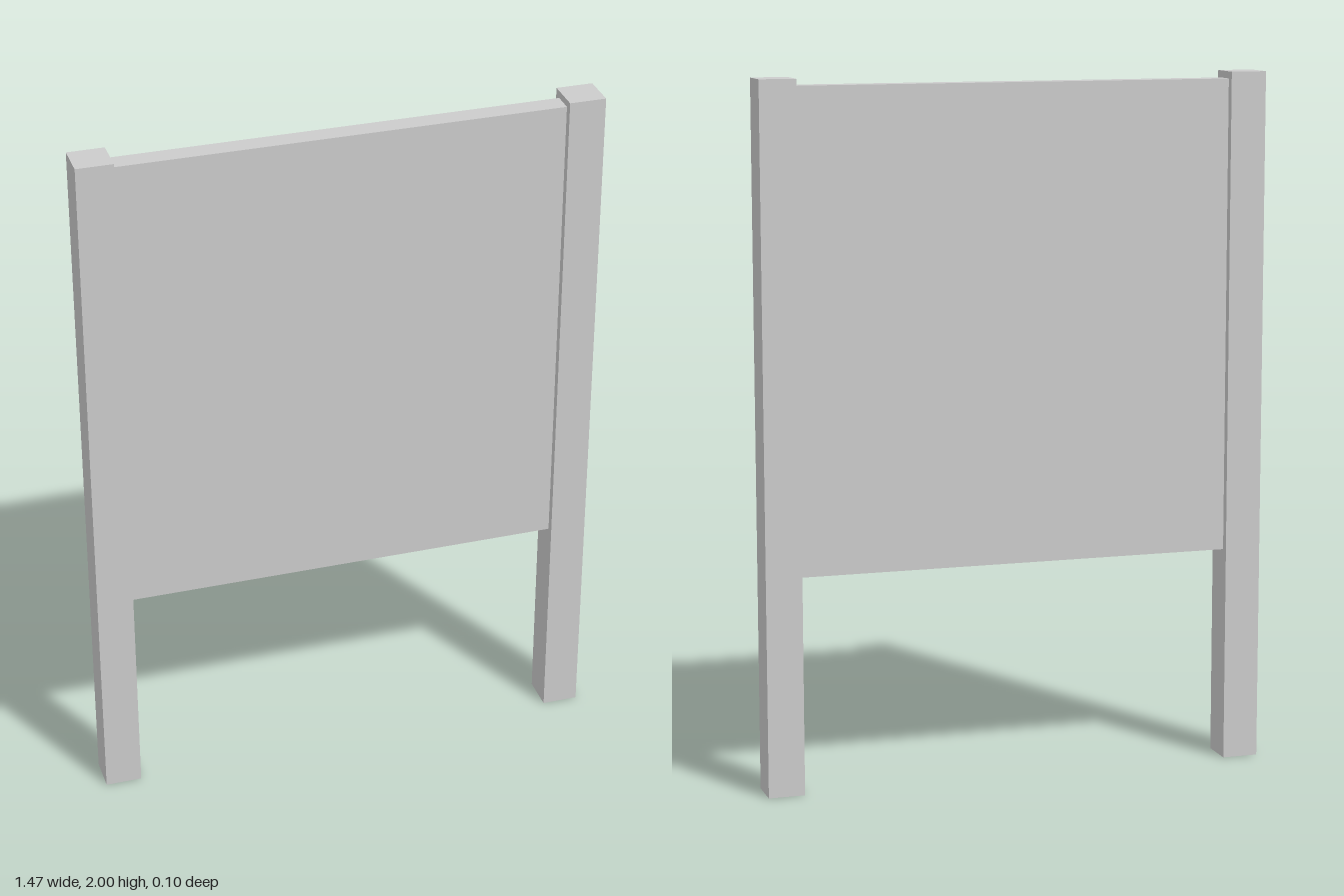
import * as THREE from 'three';

const POST = 0.104;      // square post section
const POST_X = 0.682;    // post centre line
const HEIGHT = 2;
const PANEL_BOTTOM = 0.62;
const PANEL_TOP = 1.98;
const PANEL_DEPTH = 0.06;

export function createModel() {
  const group = new THREE.Group();
  group.name = 'signBoard';
  const material = new THREE.MeshStandardMaterial({ color: 0xcccccc, flatShading: true });

  const addBox = (name, width, height, depth, x, y) => {
    const mesh = new THREE.Mesh(new THREE.BoxGeometry(width, height, depth), material);
    mesh.name = name;
    mesh.position.set(x, y, 0);
    group.add(mesh);
  };

  // Two square posts standing on the ground
  for (const [name, side] of [['leftPost', 1], ['rightPost', -1]]) {
    addBox(name, POST, HEIGHT, POST, side * POST_X, HEIGHT / 2);
  }

  // Board held between the inner faces of the posts
  addBox('panel', 2 * POST_X - POST, PANEL_TOP - PANEL_BOTTOM, PANEL_DEPTH,
    0, (PANEL_TOP + PANEL_BOTTOM) / 2);

  return group;
}
